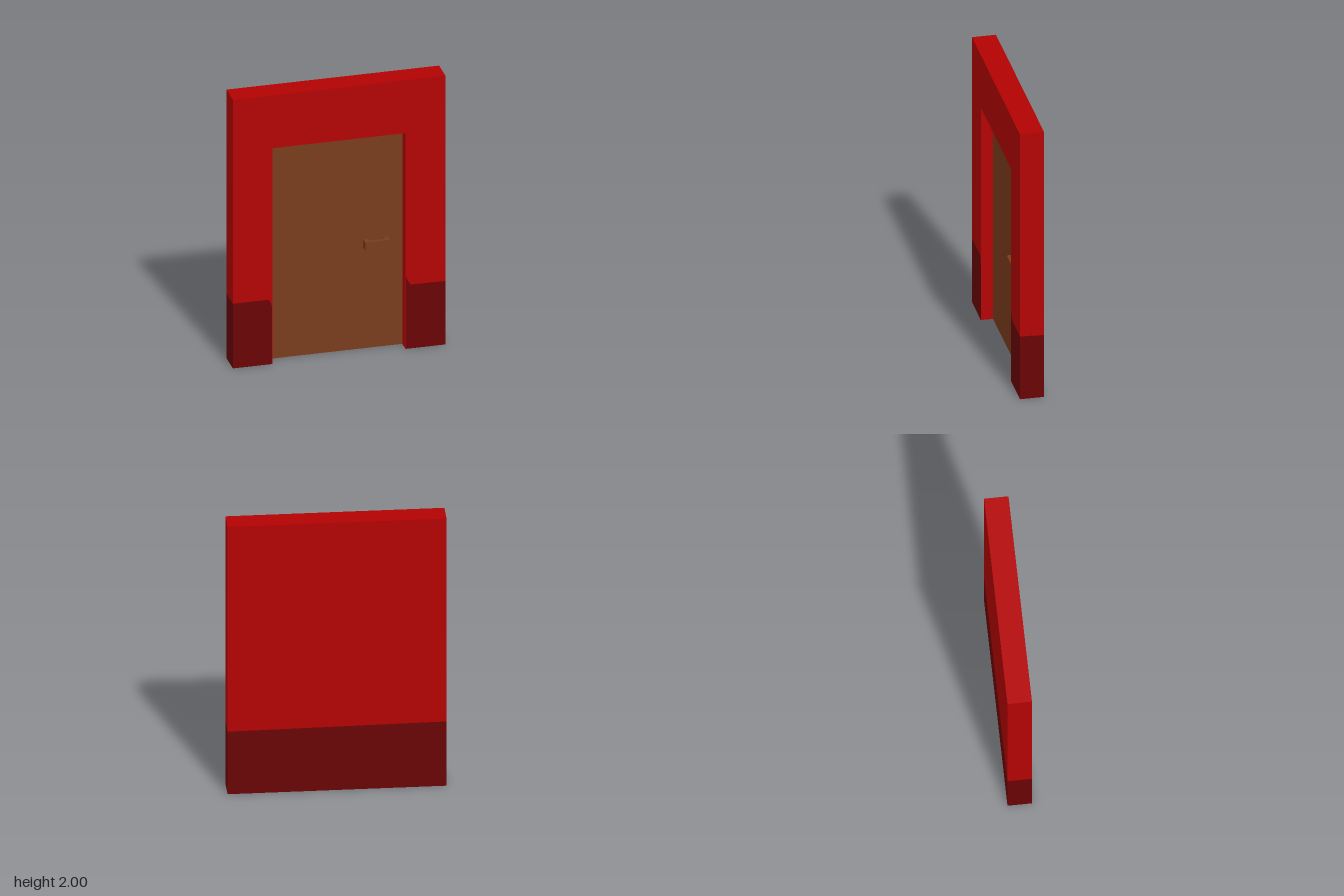
import * as THREE from 'three';

const mat = (name, color) => {
  const m = new THREE.MeshStandardMaterial({ color });
  m.name = name;
  return m;
};

export function createModel() {
  const red = mat('wallRed', 0xb30202);
  const dark = mat('wainscotDarkRed', 0x690204);
  const brown = mat('doorBrown', 0x7a3c1c);
  const group = new THREE.Group();

  const W = 0.74, H = 2, BACK = -0.083, FRONT = 0.083, DOOR = -0.005;
  const L = -0.464, R = 0.462, TOP = 1.606;
  const LEFT_BAND = 0.472, RIGHT_BAND = 0.481;
  const LINING = 0.002; // red lining on the inner sides of the doorway

  const add = (name, geometry, material) => {
    const mesh = new THREE.Mesh(geometry, material);
    mesh.name = name;
    group.add(mesh);
  };
  // Box given by its lower and upper corners
  const box = (name, material, [x0, y0, z0], [x1, y1, z1]) => {
    const g = new THREE.BoxGeometry(x1 - x0, y1 - y0, z1 - z0);
    g.translate((x0 + x1) / 2, (y0 + y1) / 2, (z0 + z1) / 2);
    add(name, g, material);
  };
  // Layer of the wall cut from an outline, between two depths
  const slab = (name, material, z0, z1, points) => {
    const shape = new THREE.Shape(points.map(([x, y]) => new THREE.Vector2(x, y)));
    const g = new THREE.ExtrudeGeometry(shape, { depth: z1 - z0, bevelEnabled: false });
    g.translate(0, 0, z0);
    add(name, g, material);
  };

  // Solid back layer, with a slightly sloping paint line
  const backLine = [[W, LEFT_BAND - 0.004], [-W, RIGHT_BAND]];
  slab('backWallUpper', red, BACK, DOOR, [...backLine, [-W, H], [W, H]]);
  slab('backWallLower', dark, BACK, DOOR, [[-W, 0], [W, 0], ...backLine]);

  // Paint line beside the doorway, from the outer edge inwards
  const leftLine = [[W, LEFT_BAND], [0.5, LEFT_BAND + 0.003], [0.48, 0.5], [R + LINING, 0.545]];
  const rightLine = [[-W, RIGHT_BAND], [-0.495, RIGHT_BAND], [-0.48, 0.466], [L - LINING, 0.42]];

  // Front layer around the doorway
  slab('doorSurround', red, DOOR, FRONT, [
    ...leftLine, [R + LINING, 0], [R, 0], [R, TOP],
    [L, TOP], [L, 0], [L - LINING, 0], ...rightLine.slice().reverse(),
    [-W, H], [W, H],
  ]);
  slab('leftWainscot', dark, DOOR, FRONT, [[R + LINING, 0], [W, 0], ...leftLine]);
  slab('rightWainscot', dark, DOOR, FRONT, [[L - LINING, 0], [-W, 0], ...rightLine]);

  // Door leaf
  const z = DOOR + 0.004;
  box('door', brown, [L, 0, DOOR], [R, TOP, z]);

  // Handle: a grip bar on two short posts
  box('handleGrip', brown, [0.19, 0.75, z + 0.03], [0.362, 0.81, z + 0.053]);
  for (const x of [0.19, 0.332]) {
    box('handlePost', brown, [x, 0.75, z], [x + 0.03, 0.81, z + 0.03]);
  }
  return group;
}
